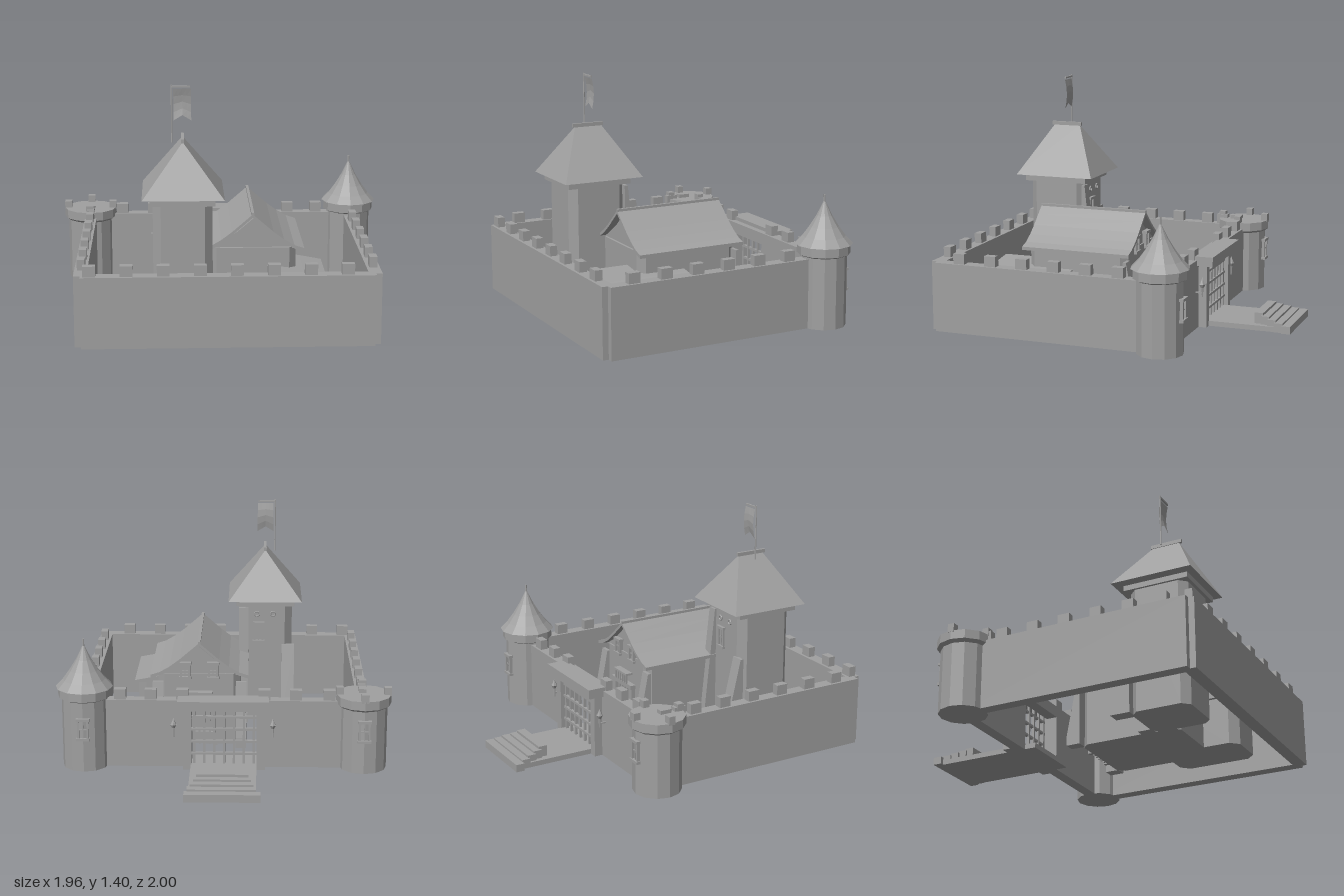
import * as THREE from 'three';

export function createModel() {
  const root = new THREE.Group();
  root.name = 'castle';
  const stone = new THREE.MeshStandardMaterial({ color: 0xa0a0a0, flatShading: true, side: THREE.DoubleSide });
  stone.name = 'grey stone';

  const add = (name, geo, x = 0, y = 0, z = 0, parent = root) => {
    const m = new THREE.Mesh(geo, stone);
    m.name = name;
    m.position.set(x, y, z);
    parent.add(m);
    return m;
  };
  // Box given by its lower and upper limits
  const box = (name, x0, x1, y0, y1, z0, z1, parent = root) =>
    add(name, new THREE.BoxGeometry(x1 - x0, y1 - y0, z1 - z0),
      (x0 + x1) / 2, (y0 + y1) / 2, (z0 + z1) / 2, parent);
  const group = (name, x = 0, y = 0, z = 0) => {
    const g = new THREE.Group();
    g.name = name;
    g.position.set(x, y, z);
    root.add(g);
    return g;
  };
  const lathe = (pts, n = 12) => new THREE.LatheGeometry(pts.map(p => new THREE.Vector2(p[0], p[1])), n);
  const shapeOf = pts => new THREE.Shape(pts.map(p => new THREE.Vector2(p[0], p[1])));
  const extrude = (pts, depth) => new THREE.ExtrudeGeometry(shapeOf(pts), { depth, bevelEnabled: false });
  // Upright block with cut corners
  const chamfered = (name, x0, x1, z0, z1, y0, y1, c) => {
    const g = extrude([[x0 + c, -z0], [x1 - c, -z0], [x1, -z0 - c], [x1, -z1 + c],
      [x1 - c, -z1], [x0 + c, -z1], [x0, -z1 + c], [x0, -z0 - c]].reverse(), y1 - y0);
    g.rotateX(-Math.PI / 2);
    return add(name, g, 0, y0, 0);
  };

  // Curtain walls
  const H = 0.41;
  box('frontWall', -0.82, 0.81, 0, H, 0.92, 0.995);
  box('rightWall', -0.857, -0.785, 0, H, -0.41, 0.96);
  box('leftWall', 0.77, 0.845, 0, H, -0.41, 0.96);
  box('gateWallRight', -0.82, -0.2, 0, H, -0.45, -0.38);
  box('gateWallLeft', 0.18, 0.81, 0, H, -0.45, -0.38);
  box('gateWallOver', -0.2, 0.18, 0.34, H, -0.45, -0.38);

  // Battlements
  const merlon = (x, z, alongX, y = H) => {
    const a = alongX ? 0.035 : 0.022, b = alongX ? 0.022 : 0.035;
    box('merlon', x - a, x + a, y, y + 0.06, z - b, z + b);
  };
  for (let i = 0; i < 8; i++) merlon(-0.77 + i * 0.2035, 0.957, true);
  for (let i = 0; i < 7; i++) for (const x of [-0.82, 0.808]) merlon(x, 0.81 - i * 0.196, false);
  merlon(-0.82, -0.275, false);
  for (const x of [-0.625, -0.43, -0.245, 0.235, 0.42, 0.6]) merlon(x, -0.415, true);

  // Framed window facing the back, centred on its group
  const barredWindow = (name, x, y, z, w, h) => {
    const g = group(name, x, y, z);
    for (const s of [-1, 1]) {
      box('windowJamb', s * w / 2 - 0.006, s * w / 2 + 0.006, -h / 2, h / 2, -0.012, 0.02, g);
      box('windowSill', -w / 2 - 0.012, w / 2 + 0.012, s * h / 2 - 0.008, s * h / 2 + 0.008, -0.018, 0.02, g);
    }
    box('windowBar', -0.003, 0.003, -h / 2, h / 2, -0.006, 0, g);
    box('windowBar', -w / 2, w / 2, -0.003, 0.003, -0.006, 0, g);
  };

  // Open corner tower
  const open = group('openTower', -0.825, 0, -0.415);
  add('towerBody', lathe([[0, 0], [0.14, 0], [0.14, 0.38], [0.162, 0.395], [0.162, 0.448], [0, 0.448]]), 0, 0, 0, open);
  for (let i = 0; i < 4; i++) {
    const a = i * Math.PI / 2;
    const m = box('towerMerlon', -0.022, 0.022, 0.44, 0.49, -0.02, 0.02, open);
    m.position.x = Math.sin(a) * 0.14;
    m.position.z = Math.cos(a) * 0.14;
  }
  barredWindow('openTowerWindow', -0.825, 0.26, -0.552, 0.055, 0.12);

  // Roofed corner tower
  const roofed = group('roofedTower', 0.808, 0, -0.415);
  add('towerBody', lathe([[0, 0], [0.135, 0], [0.135, 0.42], [0.155, 0.43], [0.155, 0.485], [0, 0.485]]), 0, 0, 0, roofed);
  add('towerRoof', lathe([[0, 0.483], [0.168, 0.485], [0.125, 0.53], [0.085, 0.585], [0.045, 0.65], [0.006, 0.73]]), 0, 0, 0, roofed);
  add('towerFinial', new THREE.CylinderGeometry(0.006, 0.006, 0.06, 6), 0, 0.74, 0, roofed);
  barredWindow('roofedTowerWindow', 0.808, 0.26, -0.547, 0.055, 0.12);

  // Gatehouse with portcullis
  box('gateLintel', -0.27, 0.26, 0.375, 0.432, -0.545, -0.42);
  for (const x of [-0.225, 0.205]) box('gatePost', x - 0.025, x + 0.025, 0, 0.375, -0.5, -0.42);
  for (let i = 0; i < 7; i++) {
    const x = -0.185 + i * 0.0583;
    box('portcullisBar', x - 0.007, x + 0.007, 0.03, 0.375, -0.475, -0.46);
  }
  for (let i = 0; i < 4; i++) box('portcullisRail', -0.2, 0.18, 0.085 + i * 0.075, 0.099 + i * 0.075, -0.48, -0.462);

  // Torches beside the gate
  for (const x of [-0.295, 0.285]) {
    const t = group('torch', x, 0.2, -0.49);
    add('torchStem', new THREE.CylinderGeometry(0.008, 0.005, 0.06, 6), 0, 0.03, 0, t);
    add('torchCup', new THREE.CylinderGeometry(0.02, 0.009, 0.02, 6), 0, 0.065, 0, t);
    add('torchFlame', new THREE.ConeGeometry(0.018, 0.04, 6), 0, 0.095, 0, t);
    box('torchBracket', -0.004, 0.004, 0.02, 0.028, 0, 0.045, t);
  }

  // Bridge and steps
  box('bridge', -0.2, 0.185, 0, 0.03, -0.95, -0.31);
  [[-1, -0.225, 0.205, 0.045], [-0.95, -0.2, 0.19, 0.055], [-0.905, -0.185, 0.175, 0.068],
    [-0.86, -0.17, 0.155, 0.08], [-0.82, -0.155, 0.14, 0.095]]
    .forEach(([z, x0, x1, y]) => box('step', x0, x1, 0, y, z, z + 0.052));

  // Keep body and ledge
  chamfered('keepBody', -0.42, -0.085, 0.41, 0.77, 0, 0.755, 0.045);
  box('keepLedge', -0.435, -0.07, 0.753, 0.785, 0.39, 0.79);
  // Hipped keep roof: a box whose top is drawn in to a ridge
  const hip = new THREE.BoxGeometry(0.46, 0.295, 0.5);
  const p = hip.attributes.position;
  for (let i = 0; i < p.count; i++) if (p.getY(i) > 0) p.setXYZ(i, p.getX(i) * 0.01, p.getY(i), p.getZ(i) * 0.34);
  add('keepRoof', hip, -0.25, 0.9425, 0.58);
  box('keepRidge', -0.258, -0.242, 1.088, 1.11, 0.485, 0.68);

  // Sloping buttress on a back-facing wall
  const buttress = (name, x, w, z, top, out) => {
    const g = extrude([[0, 0], [out, 0], [out, 0.06], [0.02, top], [0, top]], w);
    g.rotateY(Math.PI / 2);
    add(name, g, x - w / 2, 0, z);
  };
  buttress('keepButtress', -0.395, 0.08, 0.42, 0.5, 0.12);
  buttress('keepButtress', -0.115, 0.06, 0.42, 0.74, 0.09);
  barredWindow('keepWindow', -0.21, 0.58, 0.41, 0.05, 0.12);
  for (const x of [-0.2, -0.3]) {
    const r = add('keepRing', new THREE.TorusGeometry(0.015, 0.005, 6, 10), x, 0.7, 0.405);
    r.rotation.z = 0.3;
  }

  // Flag
  add('flagPole', new THREE.CylinderGeometry(0.005, 0.005, 0.33, 6), -0.31, 1.237, 0.575);
  box('flagBar', -0.31, -0.205, 1.386, 1.396, 0.57, 0.58);
  const cloth = new THREE.PlaneGeometry(0.1, 0.18, 4, 4);
  const c = cloth.attributes.position;
  for (let i = 0; i < c.count; i++) {
    const x = c.getX(i), y = c.getY(i), t = (0.09 - y) / 0.18;
    c.setXYZ(i, x, y + t * (0.05 - Math.abs(x)) * 0.6, -0.012 * Math.sin(t * Math.PI));
  }
  add('flagCloth', cloth, -0.25, 1.288, 0.573);

  // Hall with gable ends
  chamfered('hallBody', -0.1, 0.4, -0.06, 0.565, 0, 0.45, 0.04);
  add('hallGable', extrude([[-0.1, 0.44], [0.4, 0.44], [0.27, 0.54], [0.165, 0.63], [0.06, 0.54]], 0.6), 0, 0, -0.05);
  const half = [[0, 0.652], [0.06, 0.6], [0.12, 0.548], [0.18, 0.503], [0.24, 0.468], [0.297, 0.45]];
  const outer = half.map(([x, y]) => [0.148 + 0 + x, y]);
  const right = outer.map(([x, y]) => [0.296 - x, y]).reverse();
  const top = [...right.slice(0, -1), ...outer];
  const hallRoof = extrude([...top, ...top.map(([x, y]) => [x, y - 0.02]).reverse()], 0.675);
  add('hallRoof', hallRoof, 0, 0, -0.09);
  box('hallRidge', 0.14, 0.156, 0.645, 0.66, -0.09, 0.585);
  for (const x of [-0.105, 0.4]) buttress('hallButtress', x, 0.065, -0.05, 0.4, 0.085);

  // Hall doorway, windows and canopy
  for (const x of [0.065, 0.235]) barredWindow('hallWindow', x, 0.47, -0.062, 0.05, 0.09);
  for (const x of [0.05, 0.25]) box('doorPost', x - 0.012, x + 0.012, 0, 0.25, -0.085, -0.05);
  box('doorLintel', 0.03, 0.27, 0.25, 0.275, -0.095, -0.05);
  for (let i = 0; i < 5; i++) box('doorBar', 0.08 + i * 0.032, 0.09 + i * 0.032, 0, 0.25, -0.075, -0.06);
  for (const y of [0.07, 0.16]) box('doorRail', 0.05, 0.25, y, y + 0.012, -0.078, -0.06);
  for (let i = 0; i < 6; i++) box('balconyPost', 0.078 + i * 0.026, 0.086 + i * 0.026, 0.275, 0.33, -0.1, -0.09);
  box('balconyRail', 0.07, 0.225, 0.33, 0.342, -0.104, -0.055);

  // Low annex with a shed roof
  chamfered('annexBody', 0.255, 0.55, 0.3, 0.775, 0, 0.29, 0.05);
  add('annexRoof', extrude([[0.235, 0.29], [0.57, 0.28], [0.57, 0.295], [0.44, 0.32], [0.235, 0.345]], 0.51), 0, 0, 0.28);
  return root;
}
